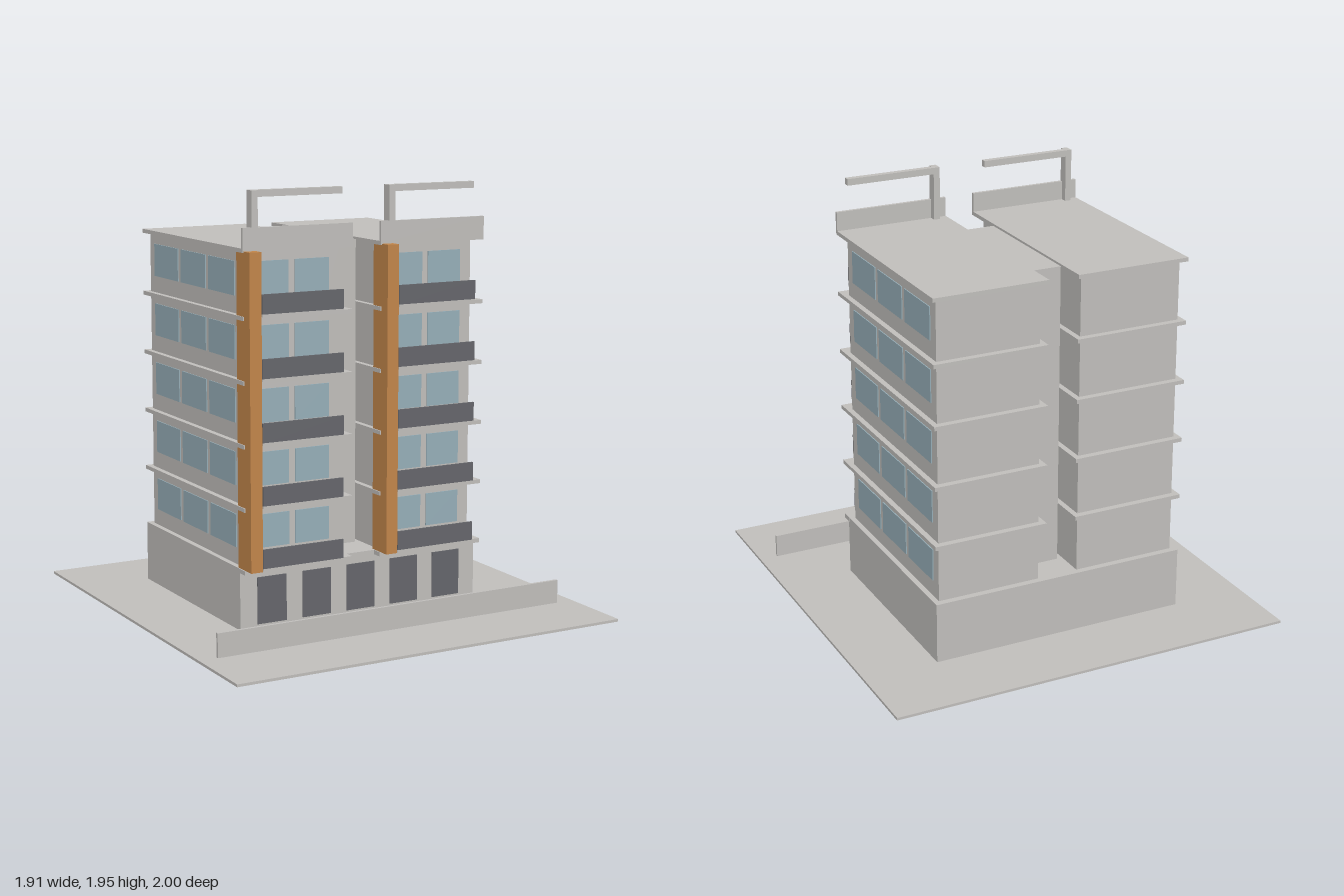
import * as THREE from 'three';

const mat = (name, color) => {
  const m = new THREE.MeshStandardMaterial({ color });
  m.name = name;
  return m;
};

export function createModel() {
  const concrete = mat('concrete', 0xc2c0bd);
  const timber = mat('timber', 0xc4874b);
  const glass = mat('glass', 0x98b0ba);
  const dark = mat('darkPanel', 0x66676c);

  const model = new THREE.Group();
  model.name = 'apartmentBlock';

  // Box given by its extents on each axis
  const box = (parent, name, material, [x0, x1], [y0, y1], [z0, z1]) => {
    const mesh = new THREE.Mesh(new THREE.BoxGeometry(x1 - x0, y1 - y0, z1 - z0), material);
    mesh.position.set((x0 + x1) / 2, (y0 + y1) / 2, (z0 + z1) / 2);
    mesh.name = name;
    parent.add(mesh);
  };

  const BASE = 0.293, STEP = 0.279, FLOORS = 5, THICK = 0.018;
  const ROOF = BASE + STEP * FLOORS + 0.012;

  // Site, low street wall and podium
  box(model, 'ground', concrete, [-0.955, 0.955], [0, 0.012], [-1, 1]);
  box(model, 'streetWall', concrete, [-0.87, 0.87], [0.012, 0.12], [0.636, 0.65]);
  box(model, 'podium', concrete, [-0.608, 0.608], [0.012, BASE], [-0.65, 0.34]);
  for (let i = -2; i <= 2; i++) {
    const x = i * 0.226;
    box(model, 'entranceBay', dark, [x - 0.072, x + 0.072], [0.03, 0.243], [0.338, 0.345]);
  }

  // Stair core between the towers
  box(model, 'core', concrete, [-0.071, 0.071], [BASE, 1.69], [-0.485, 0.167]);

  // Towers share one layout; only the outer side has windows
  const addTower = (name, outer) => {
    const tower = new THREE.Group();
    tower.name = name;
    const slabX = [-0.269, 0.269];
    box(tower, 'walls', concrete, [-0.243, 0.243], [BASE, ROOF - THICK], [-0.62, 0.32]);
    box(tower, 'timberFin', timber, [-0.264, -0.207], [BASE, 1.688], [0.318, 0.441]);
    box(tower, 'canopySlab', concrete, slabX, [BASE - 0.02, BASE], [0.33, 0.388]);

    for (let i = 0; i < FLOORS; i++) {
      const y = BASE + i * STEP;
      if (i) box(tower, 'floorSlab', concrete, slabX, [y - THICK, y], [-0.65, 0.388]);
      // Balcony
      box(tower, 'balconyFloor', concrete, [-0.2, 0.199], [y, y + 0.011], [0.318, 0.434]);
      box(tower, 'balconyPanel', dark, [-0.2, 0.199], [y + 0.011, y + 0.097], [0.426, 0.434]);
      // Front windows
      for (const x of [-0.1, 0.101]) {
        box(tower, 'frontWindow', glass, [x - 0.085, x + 0.085], [y + 0.077, y + 0.227], [0.318, 0.325]);
      }
      // Side windows
      for (const z of [0.133, -0.153, -0.439]) {
        const x = outer * 0.2435;
        box(tower, 'sideWindow', glass, [x - 0.004, x + 0.004], [y + 0.077, y + 0.227], [z - 0.128, z + 0.128]);
      }
    }

    // Roof, front parapet and angled roof frame
    box(tower, 'roofSlab', concrete, slabX, [ROOF - THICK, ROOF], [-0.65, 0.388]);
    box(tower, 'parapet', concrete, slabX, [1.688, 1.788], [0.375, 0.39]);
    box(tower, 'framePost', concrete, [-0.226, -0.196], [ROOF, 1.945], [0.342, 0.389]);
    box(tower, 'frameBeam', concrete, [-0.196, 0.226], [1.915, 1.945], [0.342, 0.371]);
    tower.position.x = outer * 0.34;
    model.add(tower);
  };
  addTower('rightTower', -1);
  addTower('leftTower', 1);

  return model;
}
